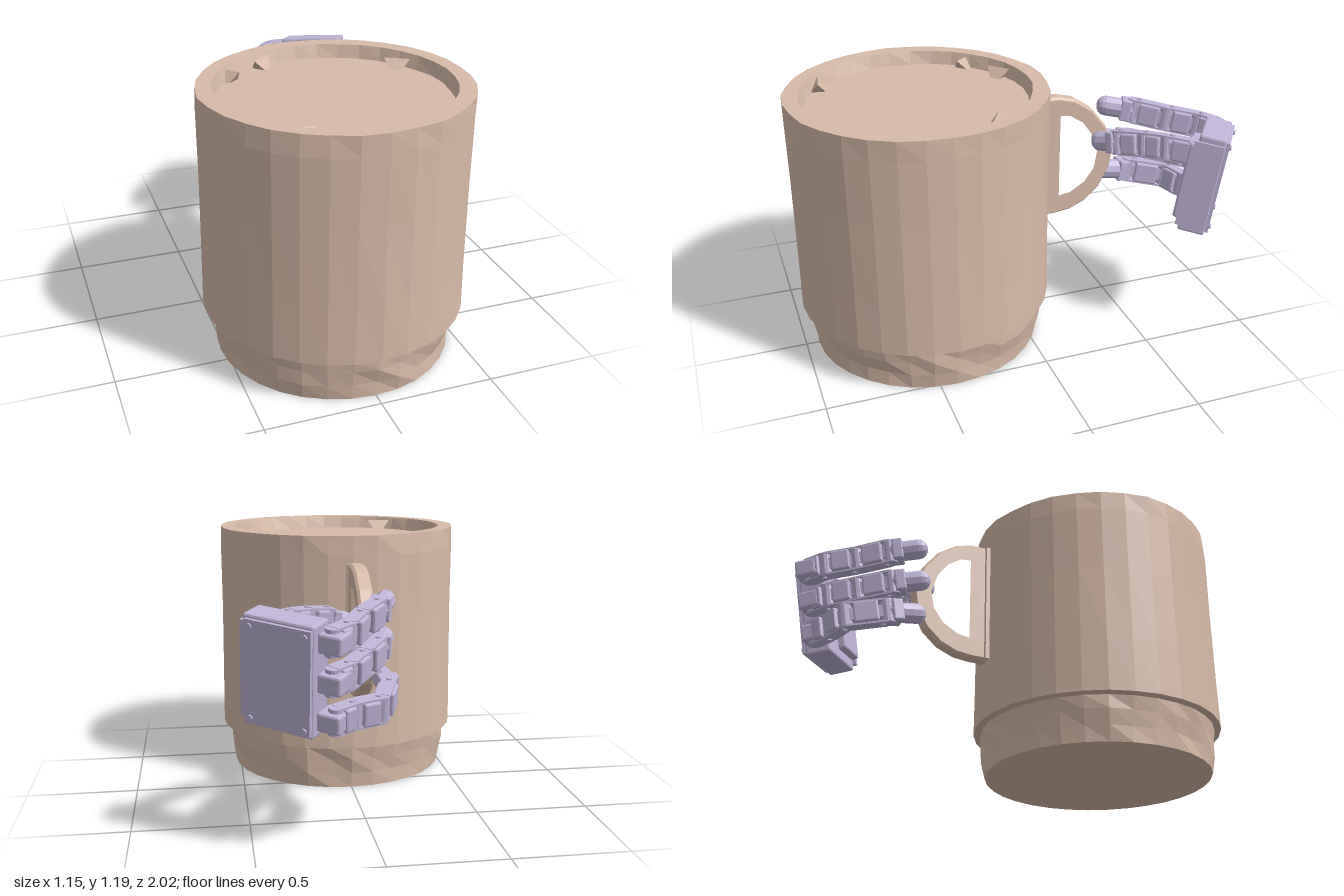
import * as THREE from 'three';
import { RoundedBoxGeometry } from 'three/addons/geometries/RoundedBoxGeometry.js';

const clay = new THREE.MeshStandardMaterial({ color: 0xd8bba8, flatShading: true });
const lilac = new THREE.MeshStandardMaterial({ color: 0xc0b5d8, flatShading: true });

function add(parent, name, geometry, material, x = 0, y = 0, z = 0) {
  const mesh = new THREE.Mesh(geometry, material);
  mesh.name = name;
  mesh.position.set(x, y, z);
  parent.add(mesh);
  return mesh;
}

// Roughens a surface by a continuous rule, so shared corners stay together.
function roughen(geometry, amountAt) {
  const p = geometry.attributes.position;
  for (let i = 0; i < p.count; i++) {
    const x = p.getX(i), y = p.getY(i), z = p.getZ(i);
    const n = Math.sin(x * 37 + y * 53) * Math.cos(z * 41 - y * 29);
    const r = 1 + n * amountAt(x, y, z);
    p.setXYZ(i, x * r, y, z * r);
  }
  geometry.computeVertexNormals();
  return geometry;
}

function createMug() {
  const mug = new THREE.Group();
  mug.name = 'mug';
  // Body, foot and shallow filled top in one profile
  const profile = [
    [0, 0], [0.52, 0], [0.526, 0.07], [0.536, 0.14], [0.545, 0.2], [0.575, 0.207], [0.572, 0.45],
    [0.57, 0.8], [0.572, 1.1], [0.571, 1.19], [0.503, 1.19], [0.487, 1.13], [0, 1.13],
  ].map(([r, y]) => new THREE.Vector2(r, y));
  const body = roughen(new THREE.LatheGeometry(profile, 32), (x, y) =>
    y > 0.05 && y < 0.2 ? 0.022 : y > 1.12 && Math.hypot(x, y) > 0 ? 0.01 : 0.003);
  add(mug, 'mugBody', body, clay, 0, 0, 0.422);

  // Rough lumps inside the rim
  for (const [x, z] of [[-0.18, -0.01], [0.38, 0.19], [-0.28, 0.8], [-0.36, 0.1]]) {
    const lump = add(mug, 'rimLump', new THREE.TetrahedronGeometry(0.07), clay, x, 1.135, z);
    lump.rotation.y = x * 9;
  }

  // D-shaped handle, drawn as distance behind the centre against height
  const outer = [[0.11, 1.07], [0.23, 1.07], [0.31, 1.05], [0.4, 0.99], [0.47, 0.9], [0.515, 0.79],
    [0.5, 0.69], [0.45, 0.59], [0.38, 0.525], [0.3, 0.49], [0.22, 0.48], [0.11, 0.48]];
  const inner = [[0.23, 0.99], [0.29, 0.985], [0.36, 0.94], [0.41, 0.87], [0.44, 0.78],
    [0.425, 0.69], [0.375, 0.62], [0.3, 0.575], [0.23, 0.565]];
  const toPoints = (list) => list.map(([u, v]) => new THREE.Vector2(u, v));
  const shape = new THREE.Shape(toPoints(outer));
  shape.holes.push(new THREE.Path(toPoints(inner)));
  const handle = new THREE.ExtrudeGeometry(shape, {
    depth: 0.044, bevelThickness: 0.012, bevelSize: 0.01, bevelOffset: -0.01, bevelSegments: 1,
  });
  add(mug, 'mugHandle', handle, clay, -0.032, 0, 0).rotation.y = Math.PI / 2;
  // Flared root where the handle meets the wall
  const root = new THREE.CylinderGeometry(0.05, 0.05, 0.58, 6);
  root.scale(1, 1, 0.7);
  add(mug, 'handleRoot', root, clay, -0.01, 0.775, -0.145);
  return mug;
}

// One digit: hinged links along a path of [x, y, z] points, ending in a rounded tip.
function createDigit(name, path, width, height) {
  const digit = new THREE.Group();
  digit.name = name;
  const pts = path.map((p) => new THREE.Vector3(...p));
  for (let i = 0; i < pts.length - 1; i++) {
    const link = new THREE.Group();
    link.name = 'link';
    link.position.copy(pts[i]);
    link.lookAt(pts[i + 1]);
    digit.add(link);
    const len = pts[i].distanceTo(pts[i + 1]);
    // Hinge at the start of the link
    add(link, 'hingePin', new THREE.CylinderGeometry(width * 0.36, width * 0.36, height, 12), lilac);
    if (i < pts.length - 2) {
      add(link, 'motorBlock', new RoundedBoxGeometry(width, height * 0.88, len * 0.6, 1, 0.008), lilac, 0, 0, len * 0.5);
      add(link, 'linkSpine', new THREE.BoxGeometry(width * 0.55, height * 0.5, len), lilac, 0, 0, len / 2);
      for (const s of [-1, 1]) {
        add(link, 'hingePlate', new THREE.BoxGeometry(width * 0.7, 0.01, len * 0.95), lilac, 0, s * height * 0.47, len / 2);
        add(link, 'screw', new THREE.CylinderGeometry(0.012, 0.012, 0.012, 8), lilac, 0, s * height * 0.51, len * 0.85);
      }
    } else {
      // Fingertip
      const r = width * 0.5;
      const tip = new THREE.CapsuleGeometry(r, Math.max(len - r * 1.4, 0.02), 4, 10);
      tip.rotateX(Math.PI / 2);
      tip.scale(1, (height * 0.42) / r, 1);
      add(link, 'fingertip', tip, lilac, 0, 0, len * 0.5);
      add(link, 'tipCollar', new RoundedBoxGeometry(width, height * 0.9, len * 0.3, 1, 0.006), lilac, 0, 0, len * 0.22);
    }
  }
  return digit;
}

function createHand() {
  const hand = new THREE.Group();
  hand.name = 'roboticHand';
  const cx = 0.355, cz = -0.81;
  hand.position.set(cx, 0.745, cz);
  hand.rotation.x = -0.17;

  // Palm housing with back plate, inner block and screws
  const palm = new THREE.Group();
  palm.name = 'palm';
  palm.rotation.y = -0.62;
  hand.add(palm);
  add(palm, 'palmHousing', new RoundedBoxGeometry(0.31, 0.46, 0.12, 1, 0.01), lilac, 0.005, 0, -0.01);
  add(palm, 'backPlate', new THREE.BoxGeometry(0.29, 0.43, 0.02), lilac, 0, 0, -0.075);
  add(palm, 'innerBlock', new RoundedBoxGeometry(0.18, 0.36, 0.05, 1, 0.01), lilac, 0.06, 0, 0.06);
  add(palm, 'wristPlate', new THREE.BoxGeometry(0.02, 0.4, 0.13), lilac, 0.165, 0, 0);
  for (const sx of [-1, 1]) for (const sy of [-1, 1]) {
    const screw = add(palm, 'palmScrew', new THREE.CylinderGeometry(0.012, 0.012, 0.012, 8), lilac, sx * 0.12, sy * 0.19, -0.087);
    screw.rotation.x = Math.PI / 2;
  }

  // Three curled fingers; the lowest bows outward the most
  const straight = [[0.2, -0.92], [0.13, -0.86], [0.06, -0.73], [-0.03, -0.6], [-0.09, -0.45]];
  const bowed = [[0.18, -0.93], [0.1, -0.88], [-0.02, -0.85], [-0.08, -0.67], [-0.06, -0.5]];
  const names = ['upperFinger', 'middleFinger', 'lowerFinger'];
  names.forEach((name, i) => {
    const y = 0.16 - i * 0.16, t = [0, 0.15, 0.9][i];
    const path = straight.map(([x, z], k) => [
      x + (bowed[k][0] - x) * t - cx, y, z + (bowed[k][1] - z) * t - cz]);
    hand.add(createDigit(name, path, 0.085, 0.112));
    // Knuckle mount on the palm edge
    const mount = add(hand, 'knuckleMount', new RoundedBoxGeometry(0.1, 0.08, 0.1, 1, 0.01), lilac, 0.19 - cx, y, -0.925 - cz);
    mount.rotation.y = -0.62;
  });

  // Opposing thumb
  const thumb = [[0.42, 0.13, -0.71], [0.33, 0.12, -0.6], [0.25, 0.1, -0.53], [0.16, 0.07, -0.45], [0.06, 0.035, -0.385]]
    .map(([x, y, z]) => [x - cx, y, z - cz]);
  hand.add(createDigit('thumb', thumb, 0.075, 0.11));
  add(hand, 'thumbMount', new RoundedBoxGeometry(0.1, 0.13, 0.1, 1, 0.01), lilac, 0.05, 0.12, 0.09).rotation.y = -0.62;
  return hand;
}

export function createModel() {
  const model = new THREE.Group();
  model.name = 'mugHeldByRoboticHand';
  model.add(createMug(), createHand());
  return model;
}
